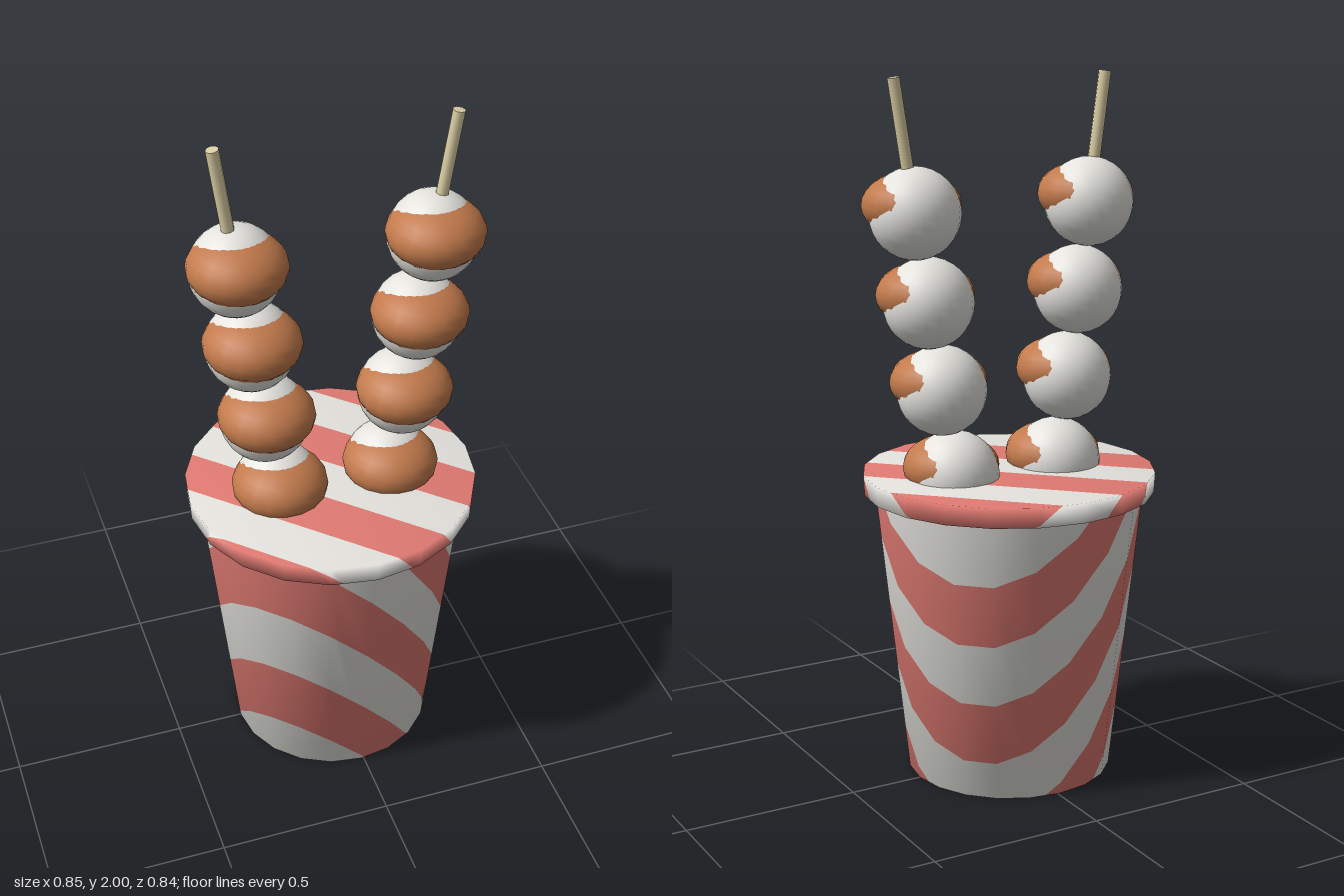
import * as THREE from 'three';

const mat = (name, color) => {
  const m = new THREE.MeshStandardMaterial({ color });
  m.name = name;
  return m;
};

// Keeps the part of a polygon where sign * (c - level) >= 0
function clip(poly, level, sign) {
  const out = [];
  poly.forEach((a, i) => {
    const b = poly[(i + 1) % poly.length];
    const da = sign * (a.c - level), db = sign * (b.c - level);
    if (da >= 0) out.push(a);
    if (da * db < 0) {
      const t = da / (da - db);
      out.push({ p: a.p.clone().lerp(b.p, t), n: a.n.clone().lerp(b.n, t).normalize(), c: level });
    }
  });
  return out;
}

// Cuts a geometry into alternating bands along x + y - z, one material group per colour
function stripe(geometry, start, width) {
  const flat = geometry.toNonIndexed();
  const { position, normal } = flat.attributes;
  const sets = [[], []];
  for (let i = 0; i < position.count; i += 3) {
    const tri = [0, 1, 2].map(j => {
      const p = new THREE.Vector3().fromBufferAttribute(position, i + j);
      const n = new THREE.Vector3().fromBufferAttribute(normal, i + j);
      return { p, n, c: (p.x + p.y - p.z - start) / width };
    });
    const cs = tri.map(v => v.c);
    for (let k = Math.floor(Math.min(...cs)); k <= Math.floor(Math.max(...cs)); k++) {
      const poly = clip(clip(tri, k, 1), k + 1, -1);
      for (let j = 1; j + 1 < poly.length; j++) sets[Math.abs(k % 2)].push(poly[0], poly[j], poly[j + 1]);
    }
  }
  const all = sets.flat();
  const result = new THREE.BufferGeometry();
  result.setAttribute('position', new THREE.Float32BufferAttribute(all.flatMap(v => v.p.toArray()), 3));
  result.setAttribute('normal', new THREE.Float32BufferAttribute(all.flatMap(v => v.n.toArray()), 3));
  result.addGroup(0, sets[0].length, 0);
  result.addGroup(sets[0].length, sets[1].length, 1);
  return result;
}

export function createModel() {
  const model = new THREE.Group();
  model.name = 'skewerCup';
  const white = mat('white', 0xe4e3de);
  const red = mat('red', 0xe07a72);
  const brown = mat('glazeBrown', 0xc27a4c);
  const wood = mat('wood', 0xdccfa5);

  const add = (parent, name, geometry, material, x = 0, y = 0, z = 0) => {
    const mesh = new THREE.Mesh(geometry, material);
    mesh.name = name;
    mesh.position.set(x, y, z);
    parent.add(mesh);
    return mesh;
  };

  // Tapered cup with rim and closed lid
  const profile = [[0, 0], [0.295, 0], [0.383, 0.828], [0.415, 0.828], [0.418, 0.885], [0, 0.885]]
    .map(([x, y]) => new THREE.Vector2(x, y));
  const cup = new THREE.LatheGeometry(profile, 20);
  cup.translate(-0.008, 0, 0);
  add(model, 'stripedCup', stripe(cup, 0.12, 0.205), [red, white]);

  // Dumpling and the glaze that bulges over its front and sides
  const ball = new THREE.SphereGeometry(0.127, 24, 16);
  const glaze = new THREE.SphereGeometry(1, 18, 14);
  glaze.scale(0.1375, 0.09, 0.136);

  // Two skewers leaning outwards: bottom x, lean per ball, tip x
  for (const [name, x0, dx, tip] of [['rightSkewer', -0.165, -0.0345, -0.318], ['leftSkewer', 0.167, 0.0387, 0.343]]) {
    const skewer = new THREE.Group();
    skewer.name = name;
    model.add(skewer);
    for (let i = 0; i < 4; i++) {
      const x = x0 + dx * i, y = 0.89 + 0.248 * i;
      add(skewer, 'dumpling', ball, white, x, y);
      add(skewer, 'glaze', glaze, brown, x, y + 0.022, 0.02);
    }
    const from = new THREE.Vector3(x0, 0.89, 0), to = new THREE.Vector3(tip, 1.997, 0);
    const axis = to.clone().sub(from);
    const stick = add(skewer, 'stick', new THREE.CylinderGeometry(0.018, 0.018, axis.length(), 8), wood);
    stick.position.copy(from).add(to).multiplyScalar(0.5);
    stick.quaternion.setFromUnitVectors(new THREE.Vector3(0, 1, 0), axis.normalize());
  }
  return model;
}
